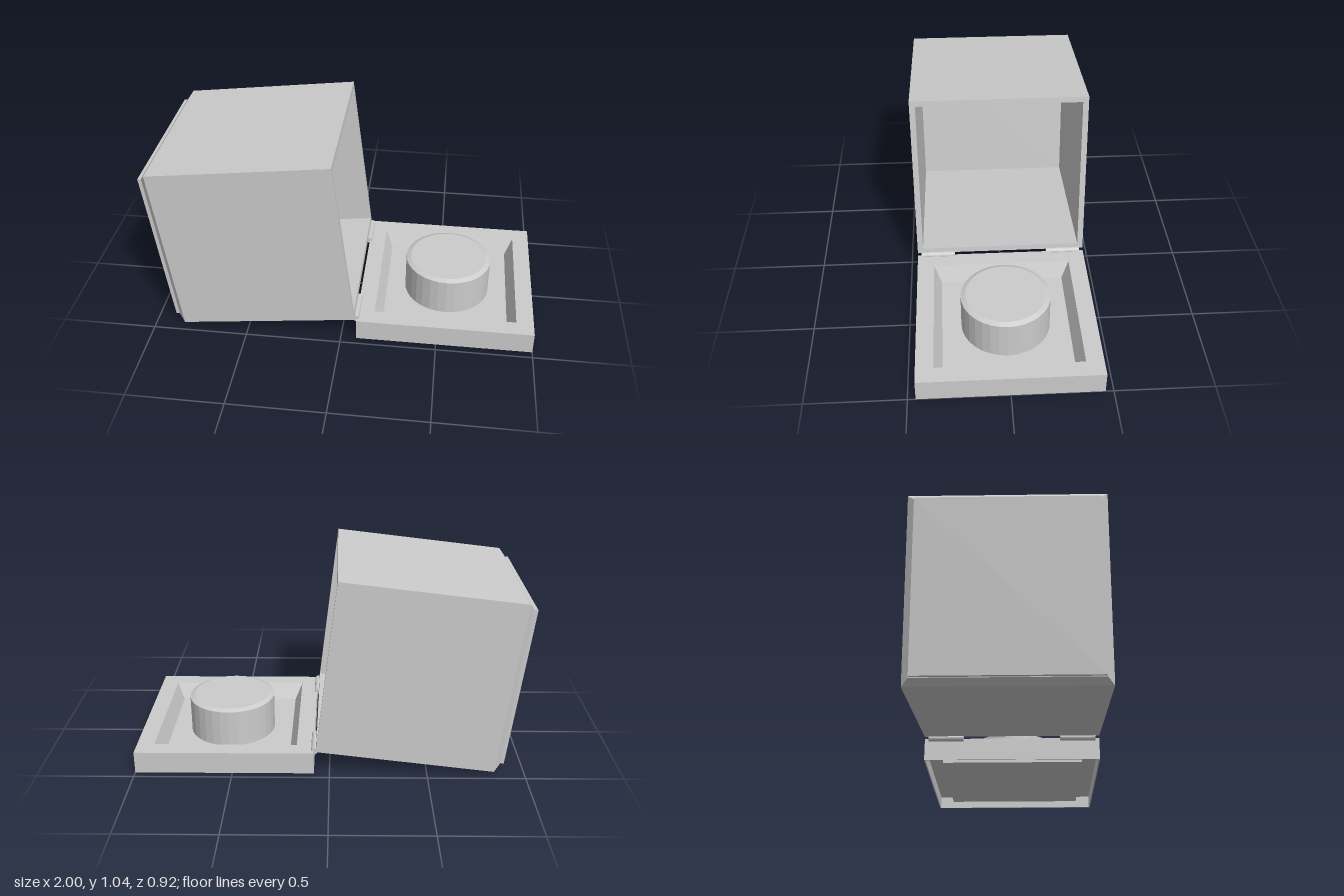
import * as THREE from 'three';

const material = new THREE.MeshStandardMaterial({ color: 0xcccccc, flatShading: true });

function part(name, geometry) {
  const flat = geometry.index ? geometry.toNonIndexed() : geometry;
  flat.computeVertexNormals();
  const mesh = new THREE.Mesh(flat, material);
  mesh.name = name;
  return mesh;
}

// Square section swept round the y axis; profile = [half width, y], bottom to top on the outside
function squareLathe(profile) {
  const pts = profile.map(([w, y]) => new THREE.Vector2(w * Math.SQRT2, y));
  return new THREE.LatheGeometry(pts, 4, Math.PI / 4);
}

// Square frame lying flat, from y0 to y1
function squareFrame(outer, inner, y0, y1) {
  const square = (Type, h) => new Type([[-h, -h], [h, -h], [h, h], [-h, h]].map(([x, y]) => new THREE.Vector2(x, y)));
  const shape = square(THREE.Shape, outer);
  shape.holes.push(square(THREE.Path, inner));
  const g = new THREE.ExtrudeGeometry(shape, { depth: y1 - y0, bevelEnabled: false });
  g.rotateX(-Math.PI / 2);
  g.translate(0, y0, 0);
  return g;
}

function makeBase() {
  const base = new THREE.Group();
  base.name = 'base';
  base.position.x = 0.54;

  // Thin skirt open underneath, with a thicker top plate
  base.add(part('baseSkirt', squareFrame(0.46, 0.454, 0, 0.066)));
  base.add(part('baseTop', squareFrame(0.46, 0.37, 0.066, 0.116)));

  // Recessed tray with sloping inner walls
  base.add(part('tray', squareLathe([[0, 0.014], [0.37, 0.014], [0.37, 0.116], [0.33, 0.03], [0, 0.03]])));

  // Round pedestal with a chamfered top
  const profile = [[0, 0.02], [0.23, 0.02], [0.23, 0.229], [0.205, 0.24], [0, 0.24]];
  base.add(part('pedestal', new THREE.LatheGeometry(profile.map(p => new THREE.Vector2(...p)), 32)));
  return base;
}

function makeBox() {
  const box = new THREE.Group();
  box.name = 'box';
  // Pivots on the lower edge of its opening, leaning back
  box.position.set(0.07, 0.125, 0);
  box.rotation.z = 0.12;

  const shell = squareLathe([
    [0, -0.95], [0.428, -0.95], [0.46, -0.92], [0.46, 0],
    [0.43, 0], [0.43, -0.9], [0, -0.9],
  ]);
  const plate = squareLathe([[0, -0.97], [0.425, -0.97], [0.425, -0.949]]);
  for (const [name, g] of [['boxShell', shell], ['backPlate', plate]]) {
    g.rotateZ(-Math.PI / 2);
    g.translate(0, 0.46, 0);
    box.add(part(name, g));
  }
  return box;
}

export function createModel() {
  const model = new THREE.Group();
  model.name = 'hingedBox';
  model.add(makeBase(), makeBox());

  // Pair of hinge barrels
  for (const side of [-1, 1]) {
    const hinge = part('hinge', new THREE.CylinderGeometry(0.017, 0.017, 0.185, 16).rotateX(Math.PI / 2));
    hinge.position.set(0.077, 0.118, side * 0.347);
    model.add(hinge);
  }
  return model;
}
